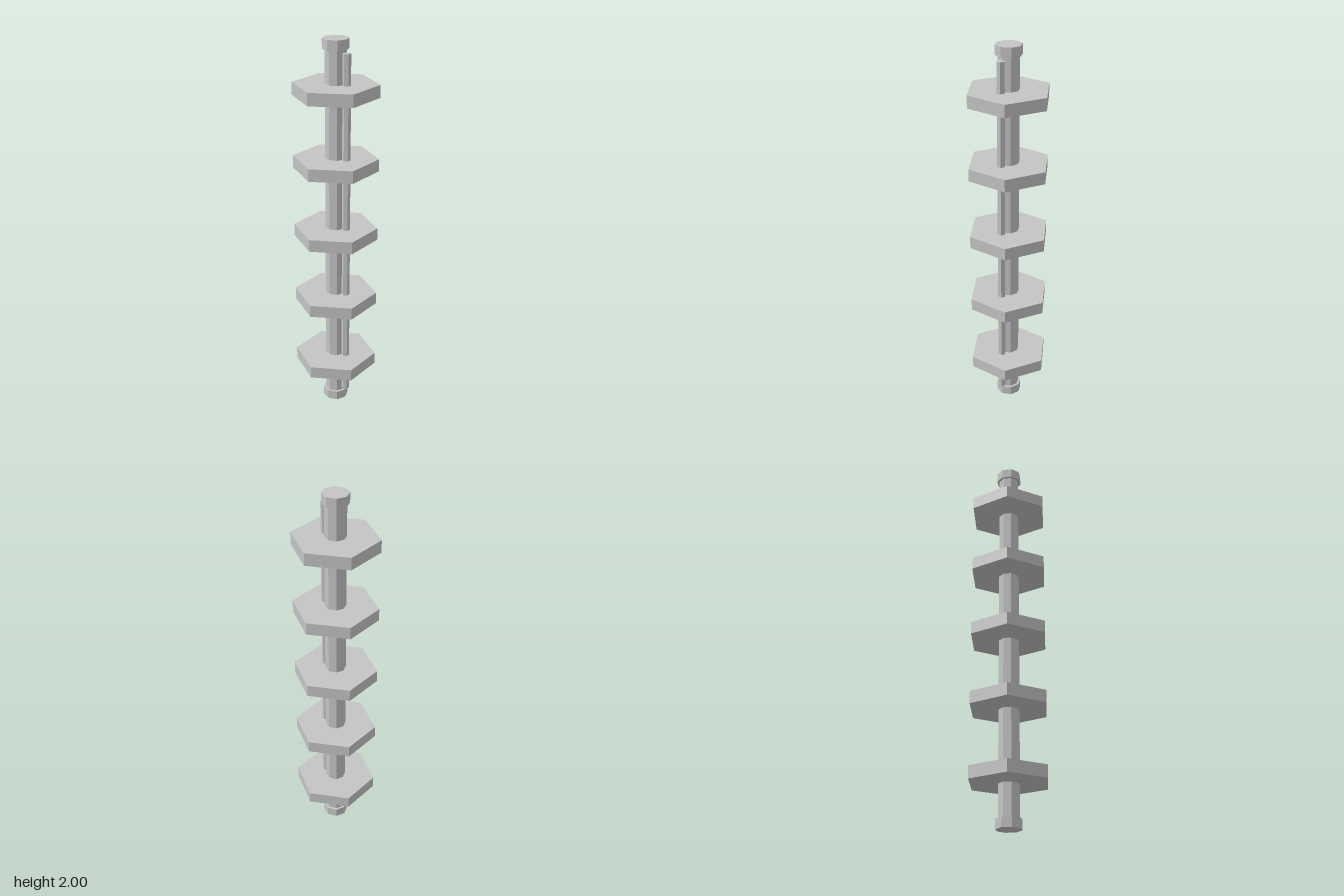
import * as THREE from 'three';

export function createModel() {
  const model = new THREE.Group();
  const grey = new THREE.MeshStandardMaterial({ color: 0xc4c4c4, flatShading: true });
  grey.name = 'light grey';

  // Upright prism with one corner facing +z
  function prism(name, radius, height, sides, x, y) {
    const mesh = new THREE.Mesh(new THREE.CylinderGeometry(radius, radius, height, sides), grey);
    mesh.name = name;
    mesh.position.set(x, y, 0);
    model.add(mesh);
  }

  // Central octagonal shaft with a collar at each end
  prism('shaft', 0.053, 1.94, 8, 0, 1);
  prism('bottomCollar', 0.066, 0.05, 8, 0, 0.025);
  prism('topCollar', 0.066, 0.05, 8, 0, 1.975);

  // Thin hexagonal rod running along the left side of the shaft
  prism('sideRod', 0.021, 1.87, 6, 0.066, 1);

  // Five evenly spaced hexagonal plates
  for (let i = 0; i < 5; i++) {
    prism(`plate${i + 1}`, 0.216, 0.064, 6, 0, 1 + (i - 2) * 0.375);
  }

  return model;
}
